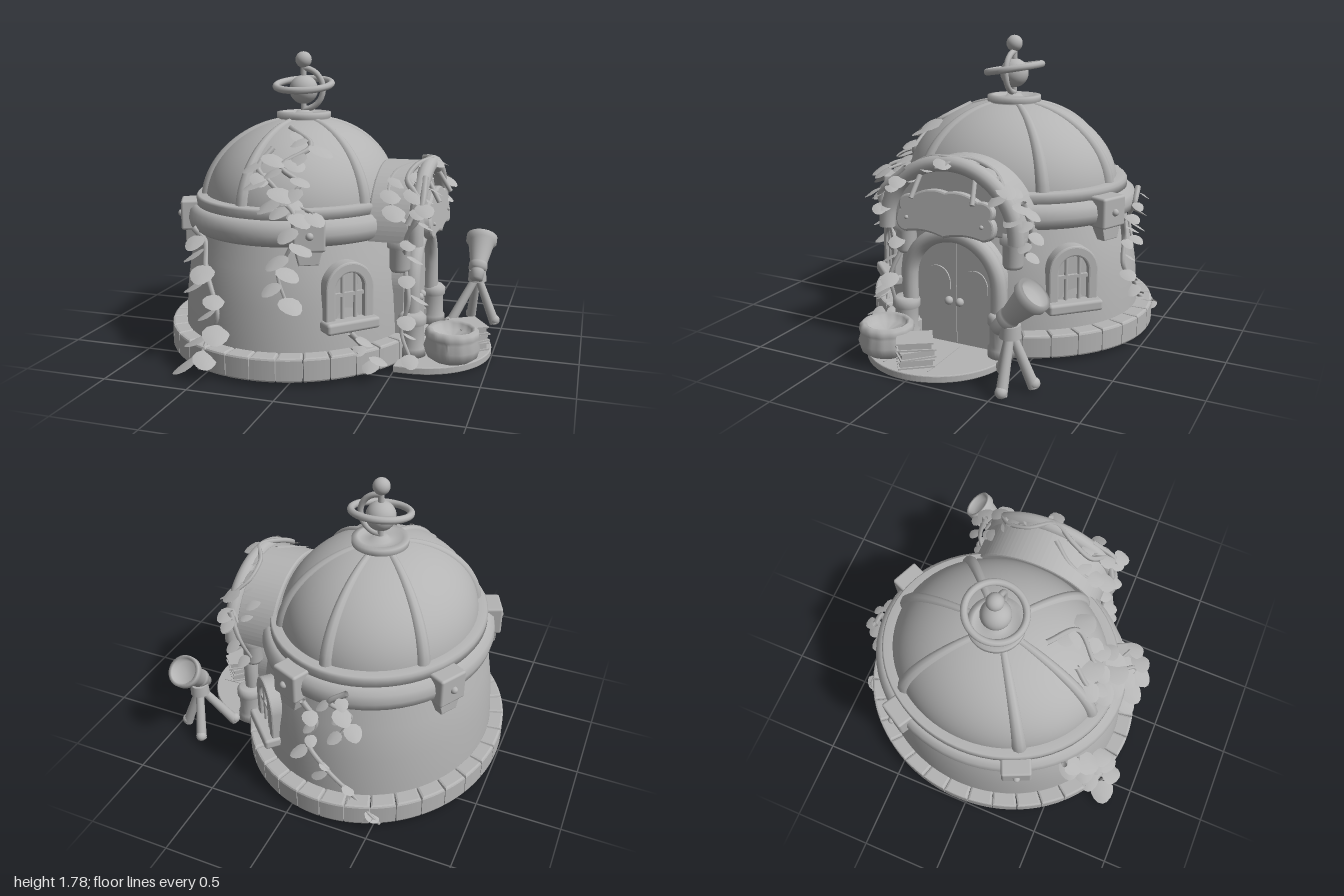
import * as THREE from 'three';
import { RoundedBoxGeometry } from 'three/addons/geometries/RoundedBoxGeometry.js';

const CX = -0.2, CZ = -0.065, SZ = 1.14;
const V = (x, y, z) => new THREE.Vector3(x, y, z);
const clay = new THREE.MeshStandardMaterial({ color: 0xb4b4b4, side: THREE.DoubleSide });
clay.name = 'clay grey';

const WALL = [[0.715, 0.14], [0.712, 0.2], [0.7, 0.4], [0.67, 0.6], [0.625, 0.76], [0.6, 0.9]];
const domeR = (y) => 0.585 * Math.sqrt(Math.max(0, 1 - ((y - 0.88) / 0.5) ** 2));

// radius of the building at height y
function radiusAt(y) {
  if (y > 0.94) return domeR(y);
  if (y > 0.7) return 0.69;
  if (y < 0.17) return 0.8;
  const i = Math.max(1, WALL.findIndex((p) => p[1] >= y));
  const [r0, y0] = WALL[i - 1], [r1, y1] = WALL[i];
  return r0 + (r1 - r0) * (y - y0) / (y1 - y0);
}
// point on the building; angle 0 is +x, 90 is the front
function onWall(deg, y, off = 0) {
  const a = deg * Math.PI / 180, r = radiusAt(y) + off;
  return V(CX + r * Math.cos(a), y, CZ + SZ * r * Math.sin(a));
}

function add(parent, name, geo, x = 0, y = 0, z = 0) {
  const m = new THREE.Mesh(geo, clay);
  m.name = name;
  m.position.set(x, y, z);
  parent.add(m);
  return m;
}
function group(parent, name, x = 0, y = 0, z = 0) {
  const g = new THREE.Group();
  g.name = name;
  g.position.set(x, y, z);
  parent.add(g);
  return g;
}
const lathe = (pts, n = 64) => new THREE.LatheGeometry(pts.map(([r, y]) => new THREE.Vector2(r, y)), n);
const cyl = (a, b, h, n = 24) => new THREE.CylinderGeometry(a, b, h, n);

// tube along points whose radius runs from r0 to r1
function taperTube(pts, r0, r1, seg = 40, sides = 8) {
  const path = new THREE.CatmullRomCurve3(pts);
  const geo = new THREE.TubeGeometry(path, seg, 1, sides);
  const pos = geo.attributes.position, v = V(0, 0, 0);
  for (let i = 0; i < pos.count; i++) {
    const t = Math.floor(i / (sides + 1)) / seg, c = path.getPointAt(t);
    v.fromBufferAttribute(pos, i).sub(c).multiplyScalar(r0 + (r1 - r0) * t).add(c);
    pos.setXYZ(i, v.x, v.y, v.z);
  }
  return geo;
}
function rod(parent, name, a, b, r0, r1) {
  const m = add(parent, name, cyl(r1, r0, a.distanceTo(b), 14));
  m.position.copy(a).lerp(b, 0.5);
  m.quaternion.setFromUnitVectors(V(0, 1, 0), b.clone().sub(a).normalize());
}
// doorway outline: straight sides with a round top
function archShape(w, y0, spring) {
  const s = new THREE.Shape();
  s.moveTo(-w, y0).lineTo(w, y0).lineTo(w, spring).absarc(0, spring, w, 0, Math.PI, false);
  return s.closePath();
}
const extrude = (shape, depth, bevel = 0) => new THREE.ExtrudeGeometry(shape, {
  depth, curveSegments: 24, bevelEnabled: bevel > 0, bevelSize: bevel, bevelThickness: bevel, bevelSegments: 2 });
function archPath(r, y0, spring, z) {
  const p = [V(-r, y0, z)];
  for (let i = 0; i <= 12; i++) p.push(V(-r * Math.cos(i * Math.PI / 12), spring + r * Math.sin(i * Math.PI / 12), z));
  p.push(V(r, y0, z));
  return p;
}

// leaf: a broad disc narrowing to a drooping tip
const leafGeo = new THREE.CircleGeometry(1, 12);
{
  const p = leafGeo.attributes.position;
  for (let i = 0; i < p.count; i++) {
    const x = p.getX(i), y = p.getY(i);
    p.setXYZ(i, x * (0.48 - 0.12 * y), (y + 1) / 2, -0.09 * (y + 1) ** 2 - 0.12 * x * x);
  }
  leafGeo.computeVertexNormals();
}
let seed = 7;
const rand = () => (seed = (seed * 16807) % 2147483647) / 2147483647;

function vine(parent, pts, leaves, size = 0.11, r = 0.018) {
  const g = group(parent, 'vine');
  add(g, 'vineStem', taperTube(pts, r, r * 0.5, 48, 6));
  const path = new THREE.CatmullRomCurve3(pts);
  for (let i = 0; i < leaves; i++) {
    const p = path.getPointAt((i + 0.6) / leaves);
    const out = V(p.x - CX, 0, p.z - CZ).normalize();
    const side = V(-out.z, 0, out.x).multiplyScalar((i % 2 ? 1 : -1) * (0.5 + 0.8 * rand()));
    const dir = out.add(side).add(V(0, -0.05 - 0.25 * rand(), 0));
    if (Math.abs(p.z) > 0.87) dir.z *= 0.1; // outermost leaves turn sideways
    dir.normalize();
    const across = dir.clone().cross(V(0, 1, 0)).normalize();
    const leaf = add(g, 'leaf', leafGeo);
    leaf.quaternion.setFromRotationMatrix(new THREE.Matrix4().makeBasis(across, dir, across.clone().cross(dir)));
    leaf.position.copy(p).addScaledVector(dir, 0.01);
    leaf.position.y = Math.max(leaf.position.y, 0.1);
    leaf.scale.setScalar(size * (0.8 + 0.45 * rand()));
  }
}

function buildHouse(root) {
  const h = group(root, 'house', CX, 0, CZ);
  h.scale.z = SZ;
  add(h, 'wall', lathe(WALL));
  const dome = [];
  for (let i = 0; i <= 24; i++) { const a = i * Math.PI / 48; dome.push([0.585 * Math.cos(a) + 1e-4, 0.88 + 0.5 * Math.sin(a)]); }
  add(h, 'dome', lathe(dome));
  add(h, 'band', lathe([[0.6, 0.73], [0.65, 0.732], [0.68, 0.755], [0.69, 0.8], [0.68, 0.85], [0.65, 0.876], [0.6, 0.88]]));
  add(h, 'collar', lathe([[0.6, 0.87], [0.64, 0.87], [0.64, 0.92], [0.63, 0.935], [0.56, 0.935]]));
  // foundation stones, open at the doorway: upright face and top ledge
  const n = 34, step = 2 * Math.PI / n;
  for (let i = 2; i < n - 1; i++) {
    const a = i * step - step / 2 + 0.019, b = a + step - 0.038;
    for (const [name, inner, y, depth] of [['foundationStone', 0.765, 0.034, 0.112], ['foundationLedge', 0.715, 0.132, 0.014]]) {
      const s = new THREE.Shape();
      s.absarc(0, 0, 0.786, a, b, false).absarc(0, 0, inner, b, a, true);
      const geo = new THREE.ExtrudeGeometry(s, { depth, curveSegments: 4, bevelSize: 0.013, bevelThickness: 0.013, bevelSegments: 2 });
      add(h, name, geo, 0, y, 0).rotation.x = -Math.PI / 2;
    }
  }
  // dome ribs
  for (const d of [-84, -138, -38, 32, 150, 104]) {
    const a = d * Math.PI / 180, pts = [];
    for (let i = 0; i <= 8; i++) {
      const t = 0.06 + i * 0.16, r = 0.573 * Math.cos(t);
      pts.push(V(r * Math.cos(a), 0.88 + 0.49 * Math.sin(t), r * Math.sin(a)));
    }
    add(h, 'domeRib', taperTube(pts, 0.042, 0.022, 24, 10));
  }
  // clamps on the band
  for (const d of [66, 153, -147, -69]) {
    const p = onWall(d, 0.8, 0.02), c = group(root, 'bandClamp', p.x, 0, p.z), a = d * Math.PI / 180;
    c.rotation.y = Math.atan2(Math.cos(a) * SZ, Math.sin(a));
    add(c, 'clampBody', new RoundedBoxGeometry(0.18, 0.18, 0.18, 2, 0.015), 0, 0.81, -0.07);
    const tab = new THREE.Shape([[-0.07, 0.73], [-0.05, 0.65], [0.05, 0.65], [0.07, 0.73]].map(([x, y]) => new THREE.Vector2(x, y)));
    add(c, 'clampTab', extrude(tab, 0.07, 0.006), 0, 0, -0.08);
    add(c, 'clampBolt', new THREE.SphereGeometry(0.022, 14, 10), 0, 0.81, 0.02);
  }
}

function buildFinial(root) {
  const f = group(root, 'finial', CX, -0.012, -0.08);
  add(f, 'finialBase', lathe([[0.185, 1.33], [0.185, 1.36], [0.15, 1.375], [0.165, 1.385], [0.165, 1.42], [0.13, 1.425], [0.12, 1.405], [0.06, 1.405], [0.04, 1.43], [0, 1.43]], 40));
  add(f, 'finialRod', cyl(0.018, 0.018, 0.3, 12), 0, 1.56, 0);
  add(f, 'finialGlobe', new THREE.SphereGeometry(0.088, 28, 20), 0, 1.555, 0);
  add(f, 'finialBall', new THREE.SphereGeometry(0.05, 24, 16), 0, 1.735, 0);
  const ring = add(f, 'horizonRing', new THREE.TorusGeometry(0.17, 0.021, 10, 48), 0, 1.585, 0);
  ring.rotation.x = Math.PI / 2 + 0.17;
  add(f, 'meridianArc', new THREE.TorusGeometry(0.124, 0.018, 10, 32, Math.PI), 0, 1.56, 0).rotation.z = -Math.PI / 2;
}

// everything here is built facing local +z, then turned to +x
function buildEntrance(root) {
  const e = group(root, 'entrance', 0, 0, -0.06);
  e.rotation.y = Math.PI / 2;
  add(e, 'doorJamb', extrude(archShape(0.29, 0.04, 0.43), 0.1), 0, 0, 0.41);
  add(e, 'door', extrude(archShape(0.245, 0.04, 0.42), 0.02), 0, 0, 0.51);
  add(e, 'doorSeam', new THREE.BoxGeometry(0.008, 0.6, 0.008), 0, 0.35, 0.532);
  for (const s of [-1, 1]) {
    const w = new THREE.Shape();
    w.moveTo(-0.085, 0).lineTo(0.085, 0).lineTo(0.085, 0.05).quadraticCurveTo(0.07, 0.13, 0, 0.135).quadraticCurveTo(-0.07, 0.13, -0.085, 0.05);
    add(e, 'doorWindow', extrude(w, 0.009), s * 0.12, 0.37, 0.53);
    add(e, 'doorKnob', new THREE.SphereGeometry(0.025, 16, 12), s * 0.035, 0.31, 0.555);
    add(e, 'doorPillar', lathe([[0, 0.05], [0.08, 0.05], [0.08, 0.1], [0.068, 0.115], [0.068, 0.23], [0.08, 0.24], [0.08, 0.28], [0.06, 0.3], [0, 0.3]], 24), s * 0.31, 0, 0.57);
    add(e, 'roofPost', lathe([[0, 0.55], [0.05, 0.55], [0.06, 0.57], [0.06, 0.68], [0.075, 0.69], [0.075, 0.76], [0, 0.76]], 24), s * 0.345, 0, 0.5);
    rod(e, 'signHook', V(s * 0.19, 0.93, 0.69), V(s * 0.17, 1.05, 0.62), 0.014, 0.014);
  }
  add(e, 'doorFrame', taperTube(archPath(0.285, 0.28, 0.425, 0.56), 0.046, 0.046, 64, 14));
  // round canopy with a thick rim
  const roof = group(e, 'canopy', 0, 0.72, 0);
  roof.scale.x = 1.06;
  add(roof, 'canopyRoof', extrude(archShape(0.385, 0.03, 0.031), 0.22, 0.012), 0, -0.01, 0.335);
  add(roof, 'canopyRim', taperTube(archPath(0.385, 0, 0.02, 0.6), 0.045, 0.045, 64, 14));
  // hanging sign with a wavy outline
  const s = new THREE.Shape();
  s.moveTo(-0.24, -0.11).quadraticCurveTo(-0.12, -0.08, 0, -0.12).quadraticCurveTo(0.12, -0.08, 0.24, -0.11)
    .bezierCurveTo(0.31, -0.11, 0.31, -0.02, 0.27, 0).bezierCurveTo(0.31, 0.05, 0.26, 0.09, 0.2, 0.08)
    .quadraticCurveTo(0.1, 0.14, 0, 0.11).quadraticCurveTo(-0.1, 0.14, -0.2, 0.08)
    .bezierCurveTo(-0.26, 0.09, -0.31, 0.05, -0.27, 0).bezierCurveTo(-0.31, -0.02, -0.31, -0.11, -0.24, -0.11);
  add(e, 'signBoard', extrude(s, 0.03, 0.012), 0, 0.845, 0.62).rotation.x = -0.14;
  for (const k of [-1, 1]) add(e, 'signNail', new THREE.SphereGeometry(0.012, 10, 8), k * 0.235, 0.81, 0.67);
}

function buildWindow(root, deg) {
  const p = onWall(deg, 0.45), a = deg * Math.PI / 180;
  const w = group(root, 'window', p.x, 0, p.z);
  w.rotation.y = Math.atan2(Math.cos(a) * SZ, Math.sin(a));
  const frame = archShape(0.14, 0.3, 0.5);
  frame.holes.push(archShape(0.1, 0.32, 0.5));
  add(w, 'windowFrame', extrude(frame, 0.07, 0.01), 0, 0, -0.04);
  add(w, 'windowPane', extrude(archShape(0.11, 0.31, 0.5), 0.008));
  for (const x of [-0.04, 0.04]) add(w, 'windowBar', cyl(0.011, 0.011, 0.27, 10), x, 0.45, 0.02);
  add(w, 'windowCrossBar', new THREE.BoxGeometry(0.21, 0.02, 0.02), 0, 0.47, 0.02);
  add(w, 'windowSill', new RoundedBoxGeometry(0.33, 0.065, 0.14, 2, 0.018), 0, 0.3, 0.02);
}

function buildPorch(root) {
  const porch = group(root, 'porch', 0.57, 0, 0.02);
  const s = new THREE.Shape();
  s.moveTo(-0.06, -0.42).lineTo(0, -0.42).absarc(0, 0, 0.42, -Math.PI / 2, Math.PI / 2, false).lineTo(-0.06, 0.42);
  add(porch, 'porchFloor', extrude(s, 0.03, 0.006), 0, 0.008, 0).rotation.x = -Math.PI / 2;
  for (const z of [-0.12, 0.16]) add(porch, 'plankSeam', new THREE.BoxGeometry(0.36, 0.005, 0.007), 0.18, 0.045, z);
  // lumpy basket
  const b = add(root, 'basket', lathe([[0, 0.045], [0.11, 0.045], [0.145, 0.07], [0.16, 0.12], [0.145, 0.165], [0.155, 0.185], [0.15, 0.215], [0.13, 0.23], [0.11, 0.22], [0.1, 0.185], [0, 0.165]], 64), 0.8, 0, 0.24);
  const q = b.geometry.attributes.position;
  for (let i = 0; i < q.count; i++) {
    const k = 1 + 0.012 * Math.sin(13 * Math.atan2(q.getZ(i), q.getX(i)));
    q.setXYZ(i, q.getX(i) * k, q.getY(i), q.getZ(i) * k);
  }
  b.geometry.computeVertexNormals();
  // stacked books: two covers, spine and pages
  for (let i = 0; i < 3; i++) {
    const k = group(root, 'book', 0.86, 0.07 + i * 0.05, 0.02);
    k.rotation.y = 0.65 + [0, 0.15, -0.08][i];
    add(k, 'pages', new THREE.BoxGeometry(0.15, 0.03, 0.18));
    for (const y of [-0.019, 0.019]) add(k, 'bookCover', new THREE.BoxGeometry(0.17, 0.009, 0.2), 0, y, 0);
    add(k, 'bookSpine', new THREE.BoxGeometry(0.01, 0.046, 0.2), -0.085, 0, 0);
  }
}

function buildTelescope(root) {
  const t = group(root, 'telescope'), hub = V(0.83, 0.33, -0.545);
  for (const [x, z] of [[0.67, -0.42], [0.95, -0.55], [0.78, -0.66]]) {
    rod(t, 'tripodLeg', V(x, 0.015, z), hub, 0.032, 0.024);
    add(t, 'tripodFoot', new THREE.SphereGeometry(0.034, 14, 10), x, 0.036, z);
  }
  add(t, 'tripodHub', cyl(0.055, 0.06, 0.07), hub.x, hub.y, hub.z);
  add(t, 'tripodNeck', cyl(0.025, 0.03, 0.1), hub.x, 0.4, hub.z);
  const tube = add(t, 'telescopeTube', lathe([[0, 0], [0.04, 0], [0.045, 0.06], [0.04, 0.07], [0.06, 0.075], [0.06, 0.11], [0.055, 0.12], [0.085, 0.27], [0.1, 0.275], [0.1, 0.32], [0.08, 0.32], [0.07, 0.28], [0, 0.28]], 32), 0.835, 0.325, -0.465);
  tube.rotation.x = -0.75;
}

export function createModel() {
  const root = new THREE.Group();
  root.name = 'observatoryHouse';
  buildHouse(root);
  buildFinial(root);
  buildEntrance(root);
  buildWindow(root, 48.5);
  buildWindow(root, -48.5);
  buildPorch(root);
  buildTelescope(root);
  const climb = (pts, n, size) => vine(root, pts.map(([a, y, o = 0.012]) => onWall(a, y, o)), n, size);
  // front vines
  climb([[131, 0.78], [127, 0.7], [121, 0.56], [113, 0.42], [110, 0.32], [115, 0.2], [112, 0.12], [114, 0.03]], 10, 0.13);
  climb([[85, 1.34], [62, 1.25], [82, 1.15], [70, 1.06], [78, 0.98], [72, 0.92, 0.03], [74, 0.75], [80, 0.6], [76, 0.44]], 17, 0.12);
  climb([[92, 1.24], [97, 1.14], [86, 1.06], [76, 0.97], [64, 0.93]], 9, 0.13);
  // back vines
  climb([[-78, 0.74], [-84, 0.6], [-80, 0.46], [-92, 0.3], [-102, 0.18], [-112, 0.1], [-115, 0.04]], 10, 0.085);
  climb([[-100, 0.88], [-92, 0.8], [-101, 0.68], [-96, 0.56]], 6, 0.09);
  // canopy and doorway vines
  const over = [];
  for (let i = 0; i <= 8; i++) {
    const a = 0.25 + i * 0.32;
    over.push(V(0.56 + 0.05 * Math.sin(i * 2), 0.73 + 0.43 * Math.sin(a), -0.06 + 0.45 * Math.cos(a)));
  }
  vine(root, over, 18, 0.1, 0.02);
  vine(root, [V(0.52, 1.13, 0), V(0.43, 1.09, 0.12), V(0.42, 1.0, 0.25), V(0.48, 0.88, 0.34)], 9, 0.11);
  vine(root, [V(0.52, 1.07, -0.26), V(0.46, 1.0, -0.35), V(0.5, 0.86, -0.44)], 6, 0.1);
  vine(root, [V(0.62, 1.08, 0.2), V(0.63, 0.92, 0.37), V(0.55, 0.75, 0.36), V(0.53, 0.6, 0.3), V(0.57, 0.4, 0.36), V(0.53, 0.22, 0.36), V(0.6, 0.06, 0.4)], 10, 0.09, 0.02);
  vine(root, [V(0.58, 0.95, -0.5), V(0.52, 0.78, -0.52), V(0.48, 0.62, -0.47)], 5, 0.08);
  climb([[49, 0.26, 0.04], [44, 0.18, 0.04], [40, 0.04, 0.02]], 4, 0.09);
  return root;
}
